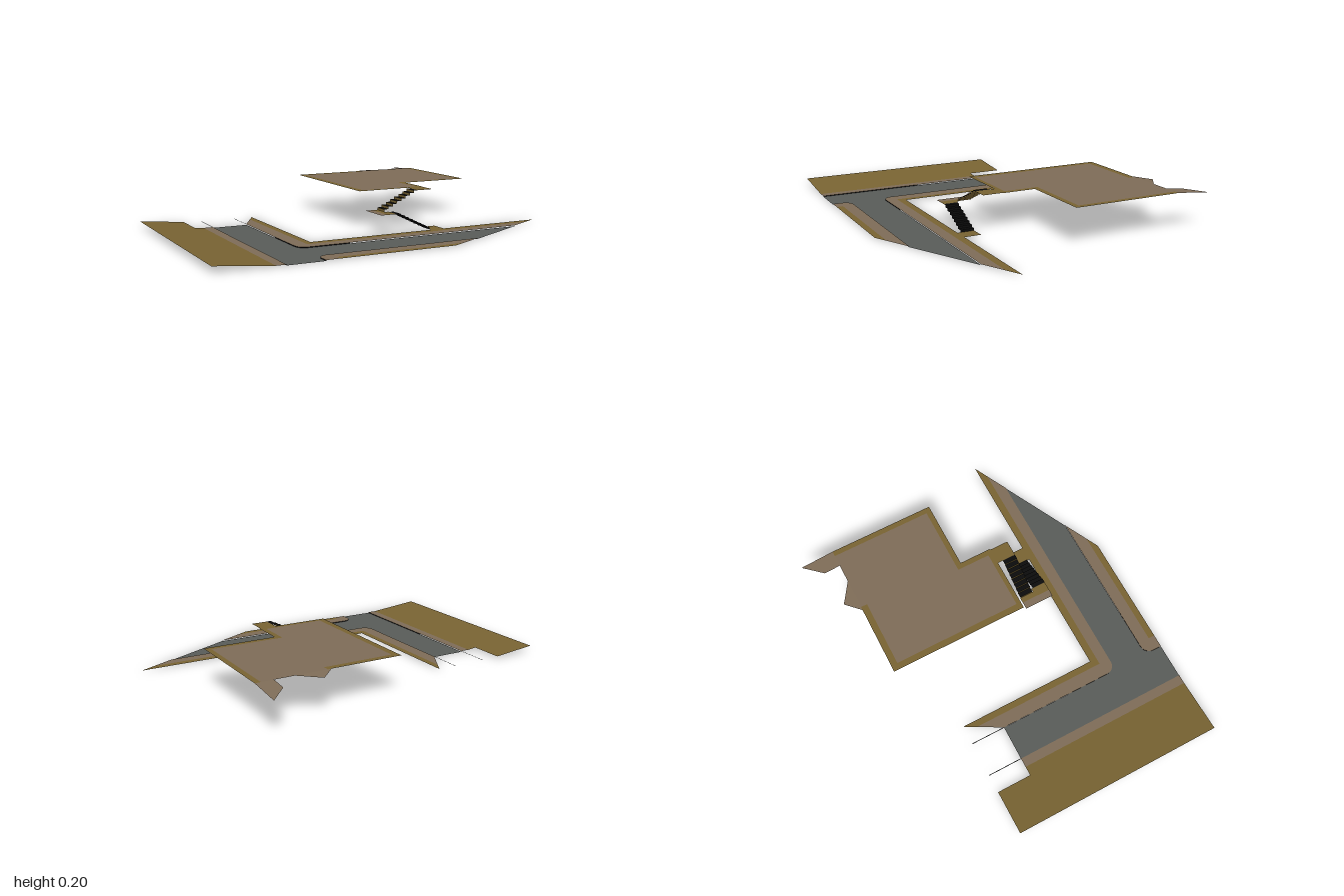
import * as THREE from 'three';

const paint = (name, color) => {
  const m = new THREE.MeshStandardMaterial({ color, side: THREE.DoubleSide });
  m.name = name;
  return m;
};

const KERB = 0.004, MID = 0.1, TOP = 0.2;

export function createModel() {
  const olive = paint('olive grass', 0x786332);
  const tan = paint('tan earth', 0x7e6c57);
  const grey = paint('grey asphalt', 0x585b58);
  const black = paint('black stone', 0x0b0b0b);
  const model = new THREE.Group();

  const add = (parent, name, geometry, material) => {
    const mesh = new THREE.Mesh(geometry, material);
    mesh.name = name;
    parent.add(mesh);
    return mesh;
  };
  const group = (name) => {
    const g = new THREE.Group();
    g.name = name;
    model.add(g);
    return g;
  };

  // Flat sheet from an [x, z] outline, raised by a height rule
  const sheet = (parent, name, outline, height, material) => {
    const shape = new THREE.Shape(outline.map(([x, z]) => new THREE.Vector2(x, -z)));
    const geometry = new THREE.ShapeGeometry(shape).rotateX(-Math.PI / 2);
    const p = geometry.attributes.position;
    for (let i = 0; i < p.count; i++) {
      p.setY(i, typeof height === 'function' ? height(p.getX(i), p.getZ(i)) : height);
    }
    geometry.computeVertexNormals();
    return add(parent, name, geometry, material);
  };
  const rect = (x0, z0, x1, z1) => [[x0, z0], [x0, z1], [x1, z1], [x1, z0]];

  // Quarter-round street corner
  const corner = (cx, cz, r, from, to) => Array.from({ length: 7 }, (_, i) => {
    const a = from + (to - from) * i / 6;
    return [cx + r * Math.cos(a), cz + r * Math.sin(a)];
  });
  const innerCorner = corner(-0.42, 0.44, 0.05, Math.PI, Math.PI / 2);
  const outerCorner = corner(-0.42, 0.73, 0.05, -Math.PI / 2, -Math.PI);

  // Streets
  const streets = group('streets');
  sheet(streets, 'road', [[-0.66, -0.2], [-0.47, -0.2], ...innerCorner, [0.8, 0.49],
    [0.42, 0.68], ...outerCorner, [-0.47, 0.78], [-0.66, 0.78]], 0, grey);

  // Verges beside the road
  sheet(streets, 'westFootpath', rect(-0.71, -0.2, -0.66, 0.78), KERB, tan);
  sheet(streets, 'innerFootpath', [[-0.47, -0.2], [-0.4, -0.327], [-0.4, 0.43],
    [0.92, 0.43], [0.8, 0.49], ...[...innerCorner].reverse()], KERB, tan);
  sheet(streets, 'innerGrass', [[-0.4, -0.327], [-0.365, -0.39], [-0.365, 0.39],
    [1, 0.39], [0.92, 0.43], [-0.4, 0.43]], KERB, olive);
  sheet(streets, 'southFootpath', [...outerCorner, [-0.47, 0.78], [-0.4, 0.78],
    [-0.4, 0.745], [0.29, 0.745], [0.42, 0.68]], KERB, tan);
  sheet(streets, 'southGrass', [[-0.4, 0.745], [0.29, 0.745], [0.22, 0.78], [-0.4, 0.78]], KERB, olive);

  // Sloping bank on the west side
  sheet(streets, 'bank', [[-1, -0.39], [-0.76, -0.39], [-0.76, -0.2], [-0.71, -0.2],
    [-0.71, 0.78], [-1, 0.78]], (x) => KERB + 0.1 * (-0.71 - x), olive);

  // Upright kerb faces along the road edges
  const kerb = (name, line) => {
    const pos = [], index = [];
    line.forEach(([x, z], i) => {
      pos.push(x, 0, z, x, KERB, z);
      if (i) index.push(2 * i - 2, 2 * i, 2 * i - 1, 2 * i - 1, 2 * i, 2 * i + 1);
    });
    const g = new THREE.BufferGeometry();
    g.setAttribute('position', new THREE.Float32BufferAttribute(pos, 3));
    g.setIndex(index);
    g.computeVertexNormals();
    add(streets, name, g, black);
  };
  kerb('westKerb', [[-0.66, 0.2], [-0.66, 0.78]]);
  kerb('innerKerb', [[-0.47, 0.2], ...innerCorner, [-0.2, 0.49]]);
  kerb('southKerb', [[-0.2, 0.68], ...outerCorner, [-0.47, 0.78]]);

  // Narrow kerb stones running on past the end of the road
  for (const x of [-0.66, -0.47]) {
    sheet(streets, 'kerbStone', rect(x - 0.002, -0.39, x + 0.002, -0.2), KERB, grey);
  }

  // Raised terrace with a grass border
  const terrace = group('terrace');
  sheet(terrace, 'terraceFloor', [[0.055, -0.555], [0.43, -0.555], [0.43, -0.59], [0.77, -0.59],
    [0.77, -0.03], [0.38, -0.03], [0.38, 0.155], [0.055, 0.155]], TOP, tan);
  [
    [0.02, -0.59, 0.055, 0.18], [0.055, -0.59, 0.43, -0.555], [0.77, -0.59, 0.8, 0],
    [0.38, -0.03, 0.77, 0], [0.38, 0, 0.41, 0.18], [0.055, 0.155, 0.38, 0.18],
    [0.315, 0.18, 0.405, 0.285],
  ].forEach((r) => sheet(terrace, 'terraceBorder', rect(...r), TOP, olive));

  // Ragged tabs sloping down at the back
  const fall = (x, z) => TOP + 0.1 * (z + 0.59);
  sheet(terrace, 'backTab', [[0.41, -0.59], [0.49, -0.665], [0.6, -0.59]], fall, tan);
  sheet(terrace, 'cornerTab', [[0.705, -0.59], [0.705, -0.68], [0.8, -0.78], [0.8, -0.59]], fall, tan);

  // Landings of the stairway
  const stairs = group('stairway');
  sheet(stairs, 'landing', rect(0.04, 0.21, 0.08, 0.375), MID, tan);
  sheet(stairs, 'landingEdge', [[0.08, 0.21], [0.11, 0.21], [0.11, 0.29], [0.13, 0.29],
    [0.13, 0.375], [0.08, 0.375]], MID, olive);
  sheet(stairs, 'stairFoot', rect(0.33, 0.3, 0.41, 0.39), KERB, olive);

  // Open flight of treads and risers
  const flight = (name, x0, y0, x1, y1, z0, z1, riserMaterial) => {
    const g = new THREE.Group();
    g.name = name;
    stairs.add(g);
    const n = 8, run = (x1 - x0) / n, rise = (y1 - y0) / n, width = z1 - z0;
    for (let i = 0; i < n; i++) {
      const riser = add(g, 'riser', new THREE.PlaneGeometry(width, rise), riserMaterial);
      riser.rotation.y = -Math.sign(run) * Math.PI / 2;
      riser.position.set(x0 + i * run, y0 + (i + 0.5) * rise, (z0 + z1) / 2);
      const tread = add(g, 'tread', new THREE.PlaneGeometry(Math.abs(run), width), black);
      tread.rotation.x = -Math.PI / 2;
      tread.position.set(x0 + (i + 0.5) * run, y0 + (i + 1) * rise, (z0 + z1) / 2);
    }
  };
  flight('lowerFlight', 0.33, KERB, 0.13, MID, 0.3, 0.375, black);
  flight('upperFlight', 0.11, MID, 0.315, TOP, 0.21, 0.285, olive);

  return model;
}
